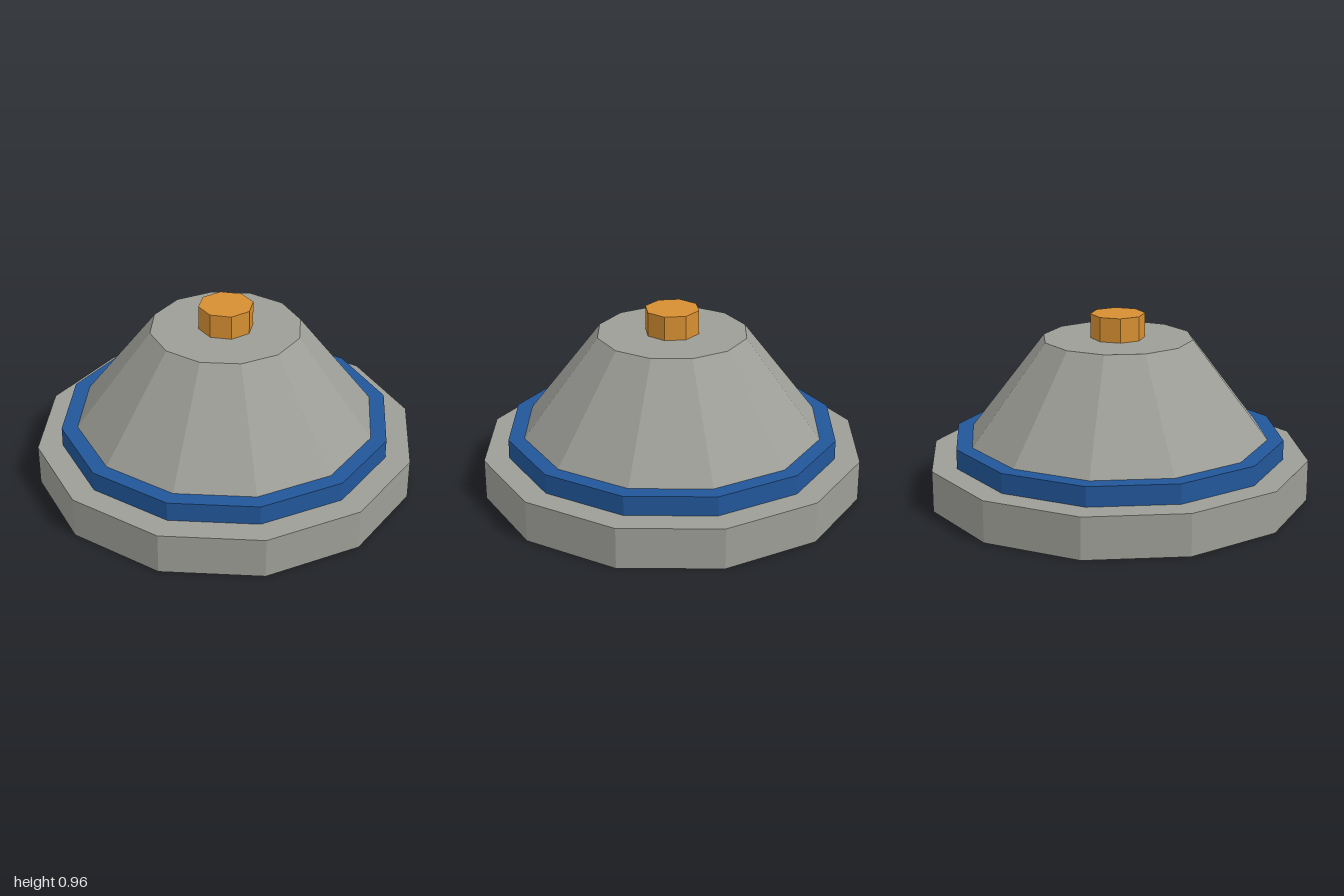
import * as THREE from 'three';

export function createModel() {
  const model = new THREE.Group();
  const material = (color) => new THREE.MeshStandardMaterial({ color, flatShading: true });
  const grey = material(0x9e9e98);
  const blue = material(0x22579a);
  const orange = material(0xd68f32);

  // Faceted drum or frustum standing between two heights
  function addTier(name, topRadius, bottomRadius, y0, y1, sides, mat) {
    const geometry = new THREE.CylinderGeometry(topRadius, bottomRadius, y1 - y0, sides);
    const tier = new THREE.Mesh(geometry, mat);
    tier.name = name;
    tier.position.y = (y0 + y1) / 2;
    model.add(tier);
  }

  addTier('base', 1, 1, 0, 0.215, 12, grey);
  addTier('colourBand', 0.87, 0.87, 0.215, 0.317, 12, blue);
  addTier('slopedBody', 0.392, 0.787, 0.317, 0.832, 12, grey);
  addTier('topKnob', 0.142, 0.142, 0.832, 0.958, 8, orange);

  return model;
}
